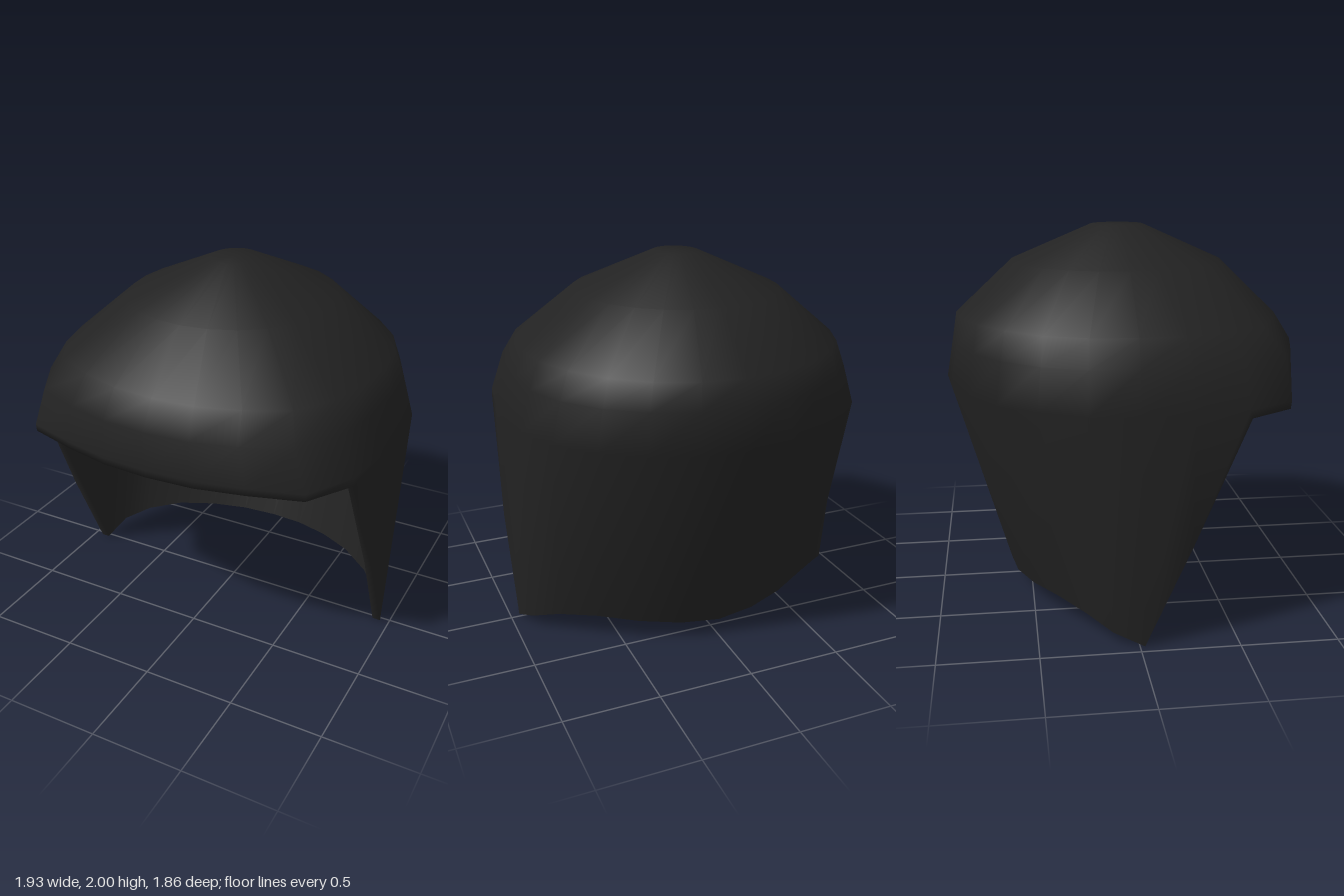
import * as THREE from 'three';

const COLS = 24; // columns round the head, every 15 degrees, starting at the front

// Half outline at the widest level, front to back: x, z
const outline = [
  [0, 0.92], [0.25, 0.905], [0.5, 0.85], [0.77, 0.77], [0.915, 0.525], [0.955, 0.255], [0.965, 0],
  [0.945, -0.25], [0.845, -0.48], [0.68, -0.67], [0.48, -0.81], [0.245, -0.9], [0, -0.93],
];

// Lower edge of the same columns: fringe, slanted side edge, then the nape
const hem = [
  [0, 1.15, 0.92], [0.25, 1.15, 0.905], [0.5, 1.15, 0.85], [0.77, 1.15, 0.77], [0.915, 1.15, 0.54],
  [0.95, 0.52, 0.26], [0.95, 0, 0.025], [0.91, 0.065, -0.13], [0.79, 0.115, -0.25],
  [0.62, 0.137, -0.38], [0.42, 0.125, -0.5], [0.21, 0.11, -0.58], [0, 0.1, -0.61],
];

// Crown levels: y, half width, front depth, back depth, roundness
const levels = [
  [2.0, 0.12, 0.14, 0.14, 1],
  [1.81, 0.545, 0.565, 0.58, 0.8],
  [1.54, 0.855, 0.845, 0.87, 0.5],
  [1.4, 0.905, 0.93, 0.893, 0.2],
  [1.19, 0.965, 0.925, 0.93, 0],
];

function levelPoint([y, w, front, back, round], col) {
  const i = col <= 12 ? col : COLS - col;
  const side = col <= 12 ? 1 : -1;
  const a = (i * Math.PI) / 12;
  const [ox, oz] = outline[i];
  const nx = THREE.MathUtils.lerp(ox / 0.965, Math.sin(a), round);
  const nz = THREE.MathUtils.lerp(oz / (oz > 0 ? 0.92 : 0.93), Math.cos(a), round);
  return [side * nx * w, y, nz * (nz > 0 ? front : back)];
}

function hemPoint(col) {
  const [x, y, z] = hem[col <= 12 ? col : COLS - col];
  return [col <= 12 ? x : -x, y, z];
}

// Moves an outer point inward by the shell thickness
function inset([x, y, z], drop) {
  const r = Math.hypot(x, z) || 1;
  const k = Math.max(0.3, 1 - 0.045 / r);
  return [x * k, y - drop, z * k];
}

function createHairGeometry() {
  const columns = Array.from({ length: COLS }, (_, c) => c);
  const outer = levels.map((level) => columns.map((c) => levelPoint(level, c)));
  outer.push(columns.map(hemPoint));
  const drops = [0.05, 0.045, 0.035, 0.02, 0, 0];
  const inner = outer.map((ring, r) => ring.map((p) => inset(p, drops[r])));

  // One continuous skin: outside downward, round the rim, inside upward
  const rings = [...outer, ...inner.reverse()];
  const positions = [...rings.flat(2), 0, 2, 0, 0, 1.95, 0];
  const topOut = rings.length * COLS;
  const topIn = topOut + 1;
  const last = (rings.length - 1) * COLS;
  const index = [];
  for (let c = 0; c < COLS; c++) {
    const n = (c + 1) % COLS;
    index.push(topOut, c, n);
    for (let r = 0; r < rings.length - 1; r++) {
      const a = r * COLS + c;
      const b = r * COLS + n;
      index.push(a, a + COLS, b, b, a + COLS, b + COLS);
    }
    index.push(last + c, topIn, last + n);
  }
  const geometry = new THREE.BufferGeometry();
  geometry.setAttribute('position', new THREE.Float32BufferAttribute(positions, 3));
  geometry.setIndex(index);
  geometry.computeVertexNormals();
  return geometry;
}

export function createModel() {
  const group = new THREE.Group();
  group.name = 'hairpiece';
  const black = new THREE.MeshStandardMaterial({ color: 0x222222 });
  black.name = 'soft black';
  const hair = new THREE.Mesh(createHairGeometry(), black);
  hair.name = 'hairShell';
  group.add(hair);
  return group;
}
